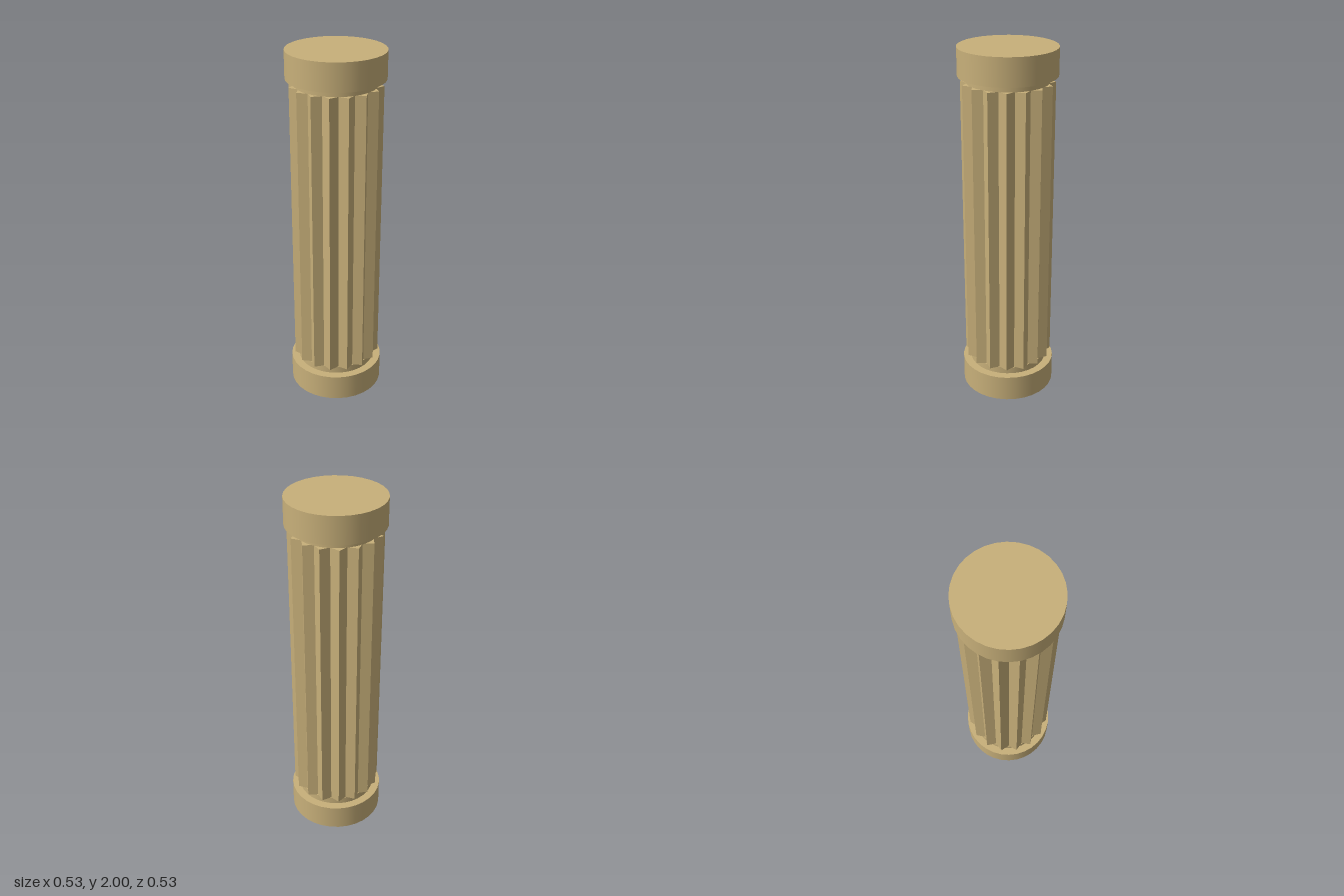
import * as THREE from 'three';

const stone = new THREE.MeshStandardMaterial({ color: 0xc8b07a });

// Round disc between two heights
function drum(name, radius, bottom, top) {
  const mesh = new THREE.Mesh(new THREE.CylinderGeometry(radius, radius, top - bottom, 32), stone);
  mesh.position.y = (bottom + top) / 2;
  mesh.name = name;
  return mesh;
}

// Star-shaped prism: sharp ridges alternating with V-shaped grooves
function flutedShaft(ridges, outer, inner, bottom, top) {
  const points = [];
  for (let i = 0; i < ridges * 2; i++) {
    const a = (i / ridges) * Math.PI;
    const r = i % 2 ? inner : outer;
    points.push(new THREE.Vector2(r * Math.cos(a), r * Math.sin(a)));
  }
  const geometry = new THREE.ExtrudeGeometry(new THREE.Shape(points), {
    depth: top - bottom, bevelEnabled: false,
  });
  geometry.rotateX(-Math.PI / 2);
  const mesh = new THREE.Mesh(geometry, stone);
  mesh.position.y = bottom;
  mesh.name = 'flutedShaft';
  return mesh;
}

export function createModel() {
  const column = new THREE.Group();
  column.name = 'column';
  column.add(
    drum('base', 0.265, 0, 0.15),
    drum('lowerNeck', 0.22, 0.15, 0.19),
    flutedShaft(16, 0.25, 0.214, 0.19, 1.815),
    drum('upperNeck', 0.22, 1.815, 1.85),
    drum('capital', 0.265, 1.85, 2),
  );
  return column;
}
